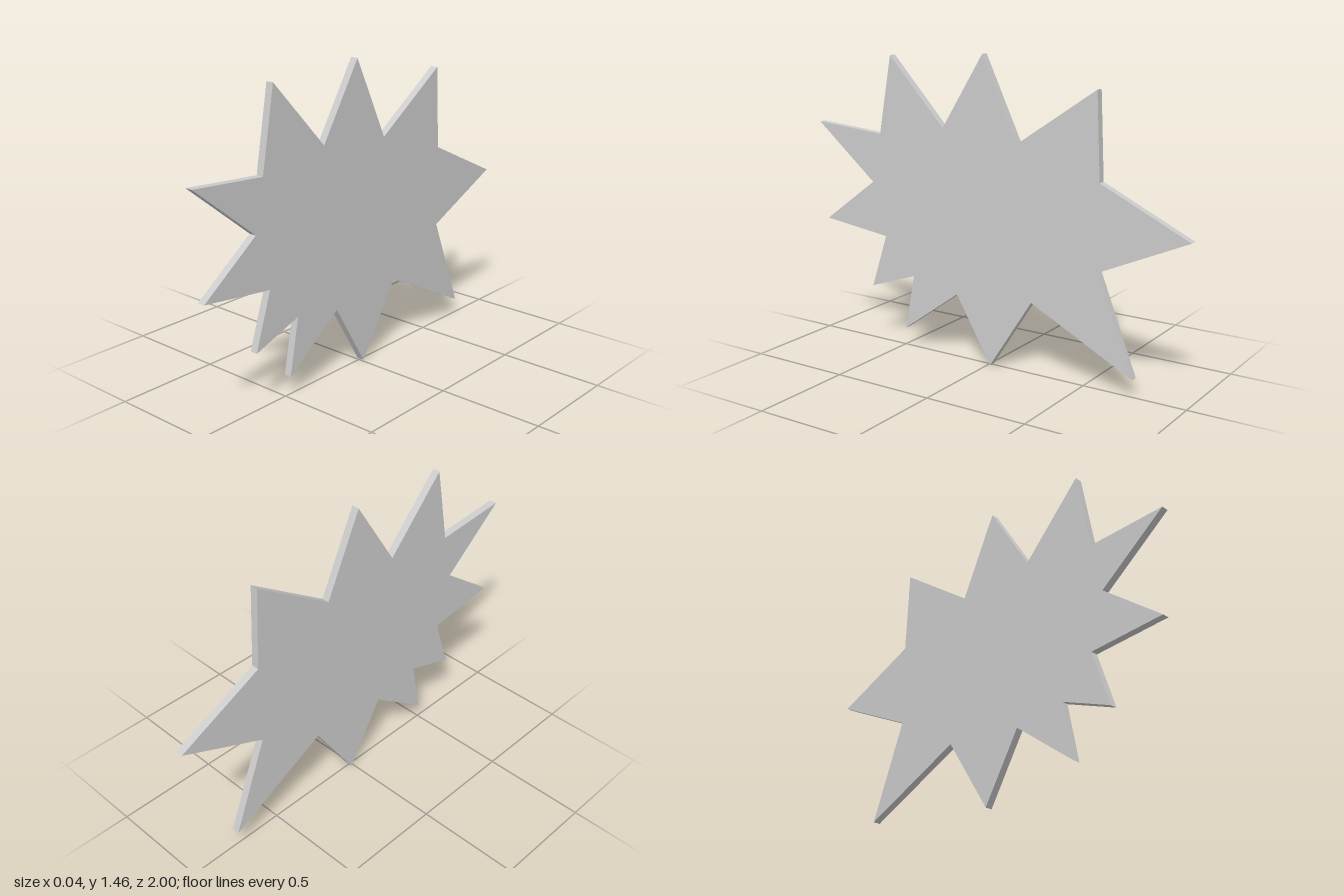
import * as THREE from 'three';

// Starburst outline as [z, y], alternating tips and notches
const outline = [
  [0.03, 1.46], [0.25, 1.11], [0.55, 1.43], [0.62, 1.05],
  [1.0, 1.08], [0.67, 0.81], [0.965, 0.592], [0.597, 0.547],
  [0.685, 0.282], [0.43, 0.37], [0.483, 0.098], [0.175, 0.322],
  [-0.012, 0.005], [-0.235, 0.352], [-0.75, 0.09], [-0.57, 0.547],
  [-1.0, 0.74], [-0.57, 0.943], [-0.55, 1.34], [-0.155, 1.073],
];
const thickness = 0.037;

export function createModel() {
  const group = new THREE.Group();
  group.name = 'starburst';

  // Flat plate with sharp edges, turned so its faces look along x
  const shape = new THREE.Shape(outline.map(([z, y]) => new THREE.Vector2(z, y)));
  const geometry = new THREE.ExtrudeGeometry(shape, { depth: thickness, bevelEnabled: false });
  geometry.translate(0, 0, -thickness / 2);
  geometry.rotateY(-Math.PI / 2);

  const plate = new THREE.Mesh(
    geometry,
    new THREE.MeshStandardMaterial({ color: 0xcccccc, flatShading: true })
  );
  plate.name = 'starburstPlate';
  group.add(plate);
  return group;
}
